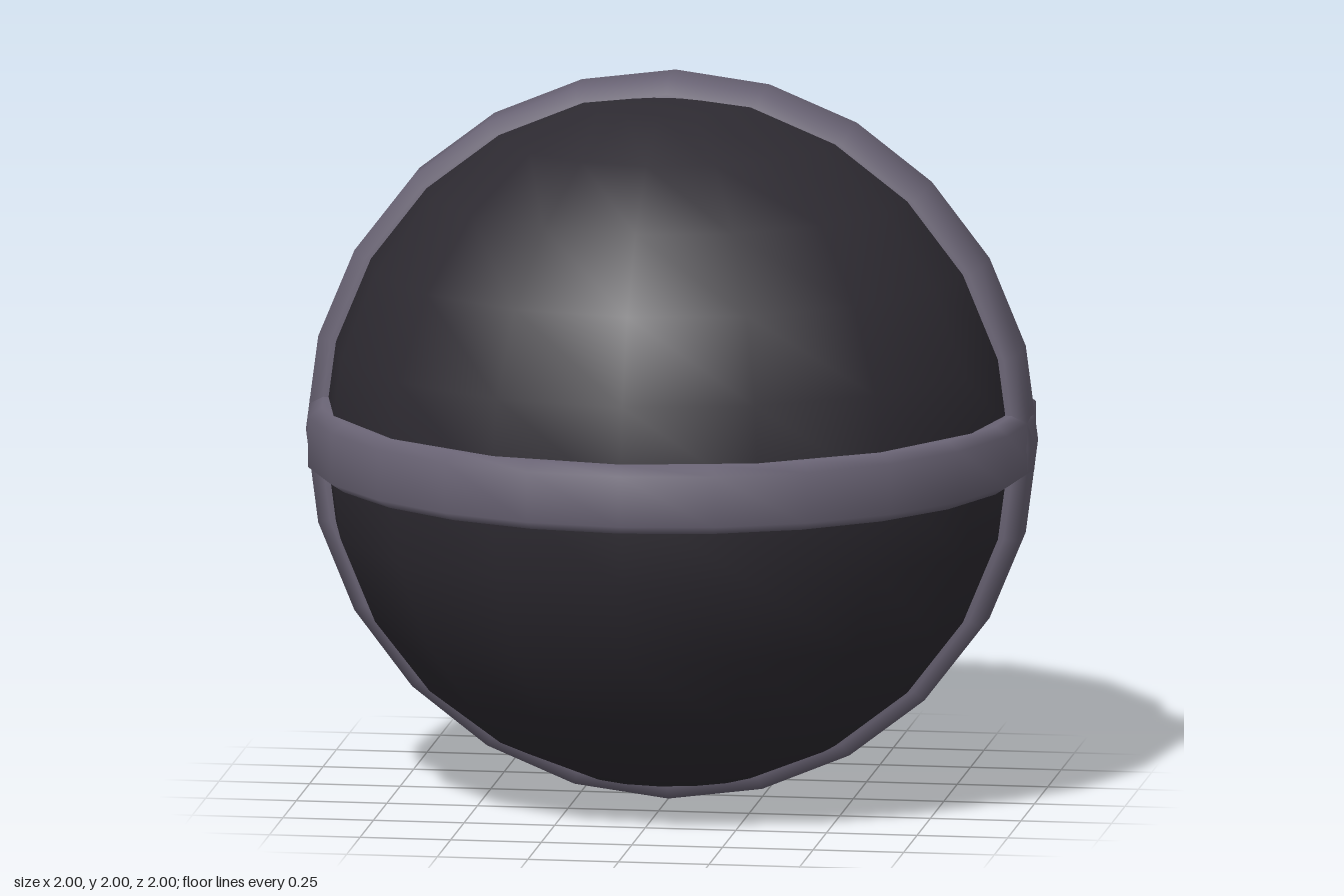
import * as THREE from 'three';

export function createModel() {
  const group = new THREE.Group();
  group.name = 'bandedBall';

  const ballMaterial = new THREE.MeshStandardMaterial({ color: 0x2d2a31 });
  const bandMaterial = new THREE.MeshStandardMaterial({ color: 0x6a6475 });

  // Dark ball core
  const ball = new THREE.Mesh(new THREE.SphereGeometry(0.965, 16, 12), ballMaterial);
  ball.name = 'ball';
  ball.position.y = 1;
  group.add(ball);

  // Bevelled band profile (radius, offset across the band), swept around the ball
  const profile = [
    [0.9, -0.095], [0.962, -0.095], [1, -0.07],
    [1, 0.07], [0.962, 0.095], [0.9, 0.095],
  ].map(([r, y]) => new THREE.Vector2(r, y));
  const bandGeometry = new THREE.LatheGeometry(profile, 24);

  // One band around the equator, one over the top, crossing at the sides
  for (const [name, tilt] of [['equatorBand', 0], ['verticalBand', Math.PI / 2]]) {
    const band = new THREE.Mesh(bandGeometry, bandMaterial);
    band.name = name;
    band.position.y = 1;
    band.rotation.x = tilt;
    group.add(band);
  }

  return group;
}
